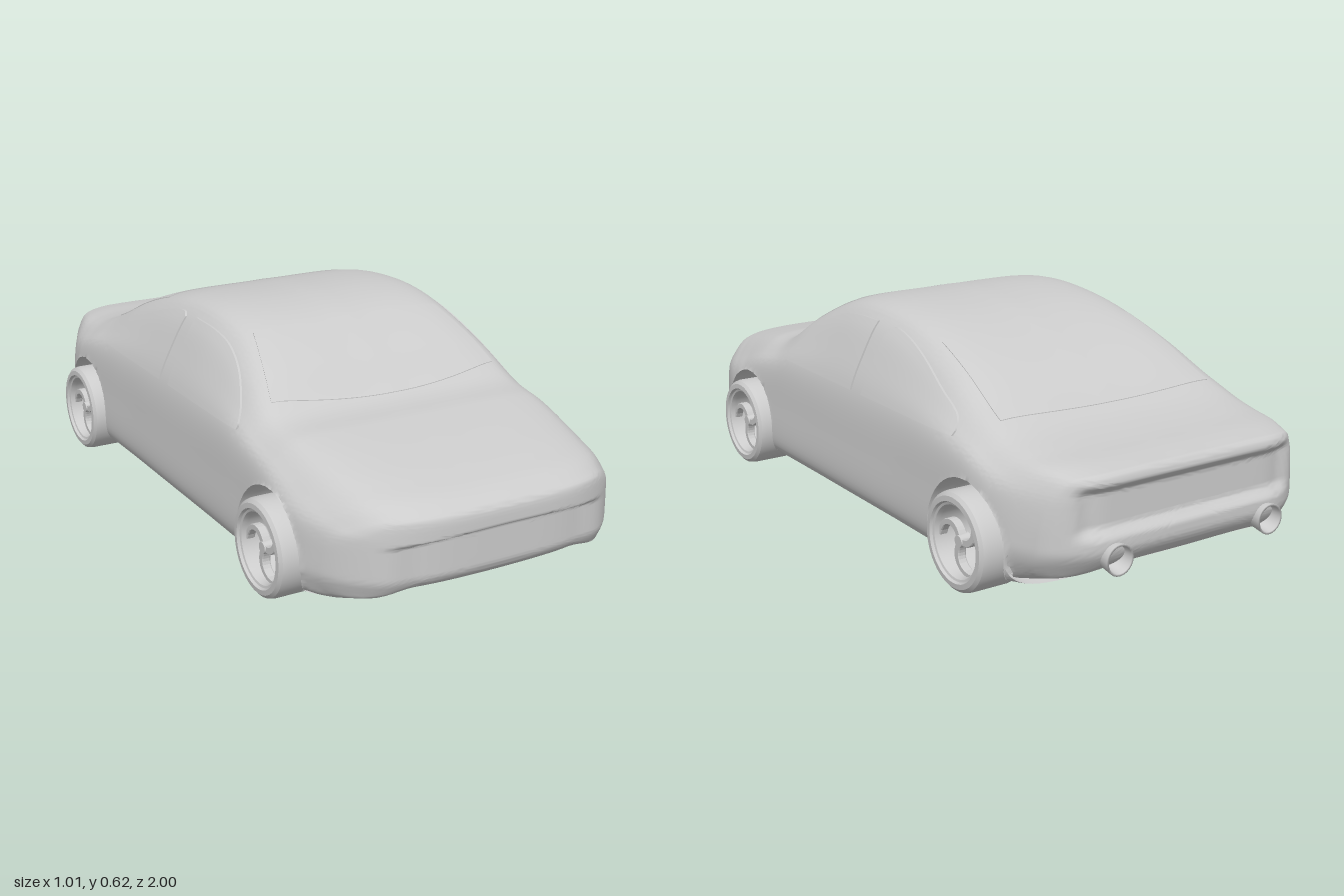
import * as THREE from 'three';
import { toCreasedNormals } from 'three/addons/utils/BufferGeometryUtils.js';

const material = new THREE.MeshStandardMaterial({ color: 0xcccccc });
const thin = new THREE.MeshStandardMaterial({ color: 0xcccccc, side: THREE.DoubleSide });
const { smoothstep: step, clamp, lerp } = THREE.MathUtils;

// Body stations: z, floor height, half width, belt height, top height, roof edge half width
const stations = [
  [-0.965, 0.10, 0.415, 0.29, 0.372, 0.36],
  [-0.90, 0.08, 0.452, 0.30, 0.382, 0.385],
  [-0.80, 0.07, 0.470, 0.32, 0.392, 0.39],
  [-0.70, 0.07, 0.474, 0.34, 0.412, 0.385],
  [-0.60, 0.07, 0.474, 0.36, 0.452, 0.375],
  [-0.45, 0.07, 0.472, 0.375, 0.528, 0.365],
  [-0.30, 0.07, 0.470, 0.38, 0.582, 0.358],
  [-0.15, 0.07, 0.470, 0.38, 0.614, 0.355],
  [0.05, 0.07, 0.470, 0.38, 0.622, 0.355],
  [0.20, 0.07, 0.470, 0.38, 0.594, 0.355],
  [0.35, 0.07, 0.471, 0.375, 0.520, 0.37],
  [0.47, 0.07, 0.472, 0.355, 0.436, 0.385],
  [0.60, 0.07, 0.475, 0.33, 0.415, 0.385],
  [0.75, 0.07, 0.477, 0.30, 0.387, 0.38],
  [0.87, 0.07, 0.476, 0.28, 0.360, 0.37],
  [0.95, 0.08, 0.460, 0.265, 0.335, 0.36],
  [0.985, 0.095, 0.435, 0.255, 0.314, 0.34],
];
const Z0 = stations[0][0], Z1 = stations[stations.length - 1][0];
const loft = new THREE.CubicInterpolant(stations.map(s => s[0]), stations.flatMap(s => s.slice(1)), 5);

// Half cross-section curve, from floor centre round the side to roof centre
function section(z) {
  const [f, w, belt, top, rx] = loft.evaluate(clamp(z, Z0, Z1));
  const h = top - belt, wb = w * 0.965;
  const pts = [
    [0, f + 0.014], [w * 0.58, f + 0.014], [w * 0.94, f - 0.002], [w, f + 0.03], [w, (f + belt) / 2 + 0.02], [wb, belt],
    [(wb + rx) / 2 + 0.006, belt + h * 0.42], [rx, top - h * 0.2], [rx - 0.05, top - h * 0.055], [0, top],
  ];
  return new THREE.CatmullRomCurve3(pts.map(([x, y]) => new THREE.Vector3(x, y, 0)));
}

// Point of the section where the upper half passes a given test
function findOnSection(z, isBelow) {
  const curve = section(z);
  let a = 5 / 9, b = 1;
  for (let i = 0; i < 22; i++) {
    const m = (a + b) / 2;
    if (isBelow(curve.getPoint(m))) a = m; else b = m;
  }
  return curve.getPoint(a);
}

// Grid surface; fn(u, v) gives [x, y, z]
function surface(fn, nu, nv) {
  const pos = [], index = [];
  for (let i = 0; i <= nu; i++) for (let j = 0; j <= nv; j++) pos.push(...fn(i / nu, j / nv, i, j));
  for (let i = 0; i < nu; i++) for (let j = 0; j < nv; j++) {
    const a = i * (nv + 1) + j, c = a + nv + 1;
    index.push(a, a + 1, c, a + 1, c + 1, c);
  }
  const g = new THREE.BufferGeometry();
  g.setAttribute('position', new THREE.Float32BufferAttribute(pos, 3));
  g.setIndex(index);
  return g;
}

function add(parent, name, geometry, mat = material) {
  const mesh = new THREE.Mesh(geometry, mat);
  mesh.name = name;
  parent.add(mesh);
  return mesh;
}

const WHEEL_Z = [0.6, -0.64], WHEEL_Y = 0.137, ARCH = 0.163, WELL_X = 0.34;

// Rounded plan corners, nose and tail recesses, wheel arches
function shapeBody(x, y, z, s) {
  const ax = Math.abs(x);
  z -= 4 * x ** 4 * step(s, 0.5, Z1);
  z += 2.5 * Math.max(0, ax - 0.25) ** 2 * step(-s, 0.6, -Z0);
  if (s > 0.9) {
    const crease = 0.258 - 0.13 * x * x;
    z -= 0.024 * (1 - step(y, crease - 0.016, crease)) * (1 - step(ax, 0.24, 0.35));
    z -= 0.02 * (1 - step(y, 0.09, 0.15));
  }
  if (s < -0.9) {
    z += 0.024 * step(y, 0.2, 0.235) * (1 - step(y, 0.315, 0.348)) * (1 - step(ax, 0.31, 0.365));
    z += 0.045 * (1 - step(y, 0.08, 0.18));
  }
  // Inside an arch the outer part becomes the tunnel wall, the middle the well's inner face
  for (const wz of WHEEL_Z) {
    const dz = z - wz, dy = y - WHEEL_Y;
    const t = dy > 0 ? Math.hypot(dz, dy) / ARCH : Math.abs(dz) / Math.sqrt(ARCH * ARCH - dy * dy);
    if (ax < WELL_X || t >= 1) continue;
    const spread = 1 / Math.max(t, 0.6);
    z = wz + dz * spread;
    if (dy > 0) y = WHEEL_Y + dy * spread;
    x = Math.sign(x) * lerp(ax, WELL_X, clamp((0.93 - t) / 0.33, 0, 1));
  }
  return [x, y, z];
}

function bodyGeometry() {
  const half = 81, along = 230, cap = 24, rings = [];
  const ring = (s, k, bulge) => {
    const pts = section(s).getPoints(half), yc = (pts[0].y + pts[half].y) / 2;
    const loop = [...pts, ...pts.slice(0, -1).reverse().map(p => new THREE.Vector3(-p.x, p.y, 0))];
    rings.push(loop.map(p => shapeBody(p.x * k, yc + (p.y - yc) * k, s + bulge, s)));
  };
  const round = k => 0.016 * Math.sqrt(1 - k ** 8);
  for (let i = 0; i < cap; i++) ring(Z0, i / cap, -round(i / cap));
  for (let i = 0; i <= along; i++) ring(lerp(Z0, Z1, i / along), 1, 0);
  for (let i = cap - 1; i >= 0; i--) ring(Z1, i / cap, round(i / cap));
  const g = surface((u, v, i, j) => rings[i][j], rings.length - 1, half * 2);
  return toCreasedNormals(g, 0.9);
}

// Raised side glass between a sill line and a curved top line of [z, y] points
function sideWindow(side, topLine) {
  const n = 28, m = 12;
  const line = new THREE.CatmullRomCurve3(topLine.map(([z, y]) => new THREE.Vector3(0, y, z)));
  return toCreasedNormals(surface((u, v, i, j) => {
    const edge = i === 0 || i === n || j === 0 || j === m;
    const p = line.getPoint(clamp((i - 1) / (n - 2), 0, 1));
    const y = lerp(0.388, p.y, clamp((j - 1) / (m - 2), 0, 1));
    const x = findOnSection(p.z, q => q.y < y).x;
    return [side * (x + (edge ? -0.008 : 0.006)), y, p.z];
  }, n, m), 0.7);
}

// Front and rear glass laid over the roof slope
function screen(zTop, zLow, wTop, wLow, bow) {
  const n = 24, m = 12;
  return toCreasedNormals(surface((u, v, i, j) => {
    const edge = i === 0 || i === n || j === 0 || j === m;
    const a = clamp((i - 1) / (n - 2), 0, 1) * 2 - 1;
    const b = clamp((j - 1) / (m - 2), 0, 1);
    const x = a * lerp(wTop, wLow, b);
    const z = lerp(zTop, zLow - bow * a * a, b);
    const y = findOnSection(z, q => q.x > Math.abs(x)).y;
    return [x, y + (edge ? -0.006 : 0.002), z];
  }, n, m), 0.7);
}

// Wheel with its axis on x and its outer face towards +x
function makeWheel() {
  const wheel = new THREE.Group();
  const profile = [
    [0.096, -0.07], [0.122, -0.073], [0.131, -0.066], [0.134, -0.05], [0.134, 0.05], [0.131, 0.064],
    [0.122, 0.072], [0.108, 0.073], [0.104, 0.066], [0.098, 0.064], [0.093, 0.05], [0.096, -0.07],
  ].map(([r, y]) => new THREE.Vector2(r, y));
  const tyre = toCreasedNormals(new THREE.LatheGeometry(profile, 48), 0.6);
  add(wheel, 'tyre', tyre.rotateZ(-Math.PI / 2));
  const hub = new THREE.CylinderGeometry(0.016, 0.02, 0.03, 20).rotateZ(-Math.PI / 2);
  add(wheel, 'hub', hub).position.x = 0.04;
  for (let k = 0; k < 3; k++) {
    const left = [], right = [];
    for (let i = 0; i <= 10; i++) {
      const r = 0.008 + 0.088 * i / 10, angle = 1.1 * (i / 10) ** 2 + k * Math.PI * 2 / 3;
      const width = 0.008 + 0.005 * (i / 10) ** 2;
      const at = w => new THREE.Vector2(r * Math.cos(angle) - w * Math.sin(angle), r * Math.sin(angle) + w * Math.cos(angle));
      left.push(at(width));
      right.unshift(at(-width));
    }
    const blade = new THREE.ExtrudeGeometry(new THREE.Shape([...right, ...left]),
      { depth: 0.018, bevelSize: 0.002, bevelThickness: 0.003, bevelSegments: 1 });
    add(wheel, 'spoke', blade.rotateY(Math.PI / 2)).position.x = 0.03;
  }
  return wheel;
}

export function createModel() {
  const car = new THREE.Group();
  car.name = 'car';
  add(car, 'body', bodyGeometry());
  add(car, 'windshield', screen(0.205, 0.465, 0.3, 0.36, 0.045), thin);
  add(car, 'rearWindow', screen(-0.31, -0.65, 0.32, 0.35, -0.02), thin);

  const frontGlass = [[0.39, 0.395], [0.36, 0.435], [0.28, 0.505], [0.18, 0.553], [0.08, 0.572], [-0.035, 0.576]];
  const rearGlass = [[-0.095, 0.565], [-0.12, 0.574], [-0.2, 0.562], [-0.3, 0.53], [-0.42, 0.478], [-0.53, 0.428], [-0.552, 0.4]];
  // Exhaust: flared hollow pipe
  const pipe = [[0.034, 0], [0.036, 0.06], [0.042, 0.1], [0.036, 0.1], [0.028, 0.05], [0, 0.045]]
    .map(([r, y]) => new THREE.Vector2(r, y));

  for (const side of [1, -1]) {
    const label = side > 0 ? 'left' : 'right';
    add(car, label + 'FrontWindow', sideWindow(side, frontGlass), thin);
    add(car, label + 'RearWindow', sideWindow(side, rearGlass), thin);
    const exhaust = add(car, label + 'Exhaust', new THREE.LatheGeometry(pipe, 24).rotateX(-Math.PI / 2), thin);
    exhaust.position.set(side * 0.25, 0.155, -0.9);
    WHEEL_Z.forEach((z, i) => {
      const wheel = makeWheel();
      wheel.name = label + (i ? 'RearWheel' : 'FrontWheel');
      wheel.position.set(side * 0.432, WHEEL_Y, z);
      if (side < 0) wheel.rotation.y = Math.PI;
      car.add(wheel);
    });
  }
  return car;
}
